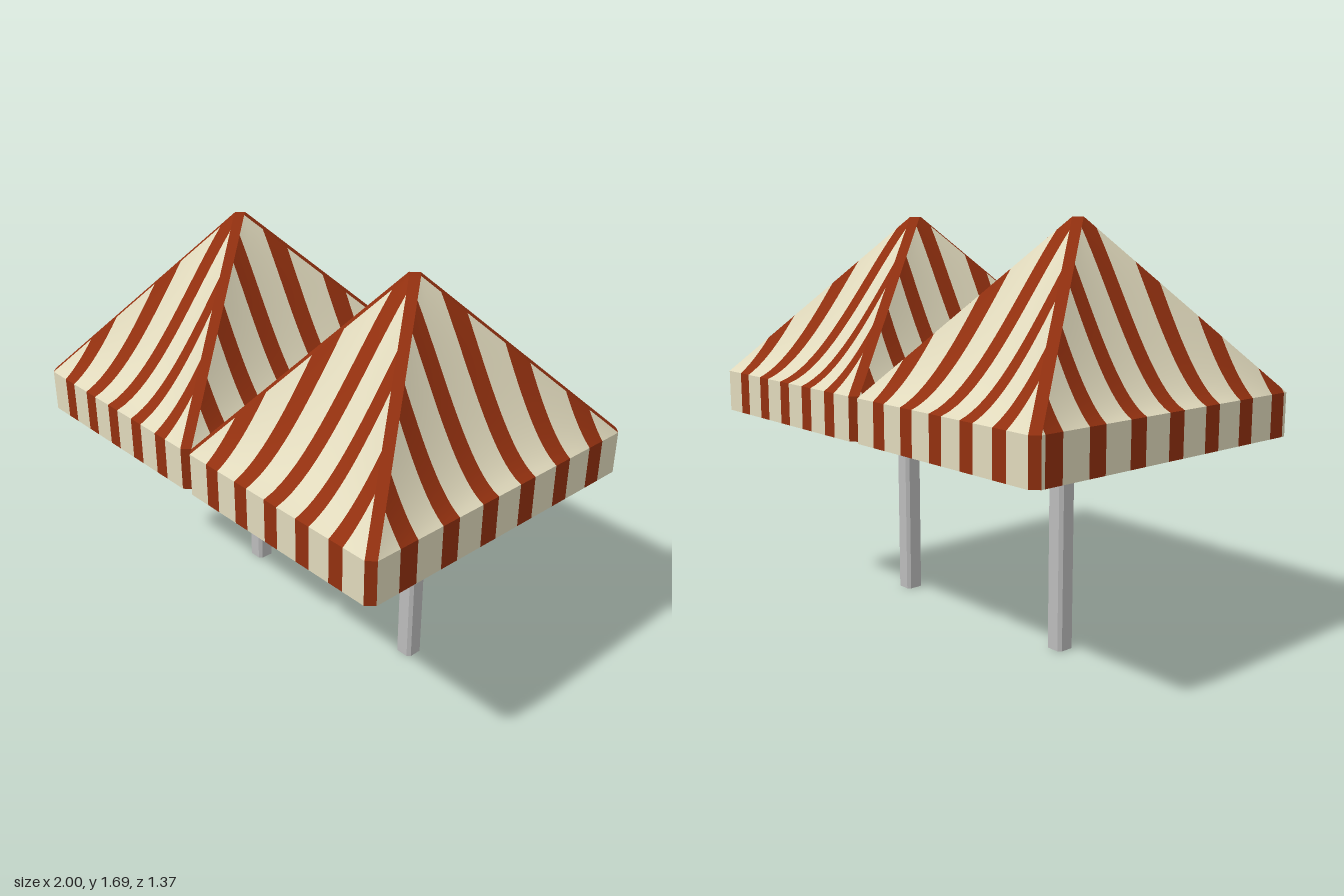
import * as THREE from 'three';

const HX = 0.5, HZ = 0.685, CUT = 0.03;          // half sizes of one canopy, corner cut
const HEM = 0.845, EAVE = 1.02, PEAK = 1.69, SAG = 0.075;

const mat = (name, color) => {
  const m = new THREE.MeshStandardMaterial({ color, side: THREE.DoubleSide });
  m.name = name;
  return m;
};

// Surface from a grid of points: rows of equal length, material index per column
function gridSurface(columns, materialOf) {
  const rows = columns[0].length, pos = [], idx = [];
  const g = new THREE.BufferGeometry();
  columns.forEach(col => col.forEach(p => pos.push(...p)));
  for (let i = 0; i < columns.length - 1; i++) {
    const start = idx.length;
    for (let j = 0; j < rows - 1; j++) {
      const a = i * rows + j, b = a + rows;
      idx.push(a, b, b + 1, a, b + 1, a + 1);
    }
    g.addGroup(start, idx.length - start, materialOf(i));
  }
  g.setAttribute('position', new THREE.Float32BufferAttribute(pos, 3));
  g.setIndex(idx);
  g.computeVertexNormals();
  return g;
}

// Stripe borders across a panel of half width w, each with its colour (1 = red)
function stripeColumns(w, centres, half) {
  const edges = [[-w, 0]];
  centres.forEach(c => edges.push([c - half, 1], [c + half, 0]));
  edges.push([w, 0]);
  const xs = [], colours = [];
  for (let i = 0; i < edges.length - 1; i++) {
    for (let k = 0; k < 4; k++) {
      xs.push(THREE.MathUtils.lerp(edges[i][0], edges[i + 1][0], k / 4));
      colours.push(edges[i][1]);
    }
  }
  xs.push(w);
  return { xs, colours };
}

// Sagging triangular cloth facing +z
function clothGeometry(w, depth, centres, half) {
  const { xs, colours } = stripeColumns(w, centres, half);
  const rows = 16;
  const columns = xs.map(x => {
    const top = 1 - Math.abs(x) / w;
    return Array.from({ length: rows + 1 }, (_, j) => {
      const c = top * j / rows;
      const a = (1 - c + x / w) / 2, b = (1 - c - x / w) / 2;
      return [x, EAVE + (PEAK - EAVE) * c - SAG * 27 * a * b * c, THREE.MathUtils.lerp(depth, CUT, c)];
    });
  });
  return gridSurface(columns, i => colours[i]);
}

// Flat hanging valance facing +z
function valanceGeometry(w, depth, centres, half) {
  const { xs, colours } = stripeColumns(w, centres, half);
  return gridSurface(xs.map(x => [[x, HEM, depth], [x, EAVE, depth]]), i => colours[i]);
}

export function createModel() {
  const cream = mat('creamCloth', 0xe0d9bc);
  const red = mat('redCloth', 0x92300f);
  const grey = mat('greyMetal', 0xbcbcbc);
  const cloth = [cream, red];
  const model = new THREE.Group();
  model.name = 'stripedDoubleCanopy';

  const add = (parent, name, geometry, material) => {
    const m = new THREE.Mesh(geometry, material);
    m.name = name;
    parent.add(m);
    return m;
  };

  // Stripe centres on each kind of side
  const long = [-2, -1, 0, 1, 2].map(k => k * 0.167);
  const plusX = [-5, -3, -1, 1, 3, 5].map(k => k * 0.102);
  const minusX = [-3, -2, -1, 0, 1, 2, 3].map(k => k * 0.2);
  const sides = [
    { name: 'front', w: HX - CUT, depth: HZ, centres: long, half: 0.034 },
    { name: 'left', w: HZ - CUT, depth: HX, centres: plusX, half: 0.041 },
    { name: 'back', w: HX - CUT, depth: HZ, centres: long, half: 0.034 },
    { name: 'right', w: HZ - CUT, depth: HX, centres: minusX, half: 0.039 },
  ];

  for (const side of [-1, 1]) {
    const canopy = new THREE.Group();
    canopy.name = side > 0 ? 'leftCanopy' : 'rightCanopy';
    canopy.position.x = side * HX;
    model.add(canopy);

    // Four sagging cloths, with a valance on the outer sides only
    sides.forEach((s, k) => {
      const turn = k * Math.PI / 2;
      add(canopy, s.name + 'Cloth', clothGeometry(s.w, s.depth, s.centres, s.half), cloth).rotation.y = turn;
      const inner = (k === 1 && side < 0) || (k === 3 && side > 0);
      if (!inner) {
        add(canopy, s.name + 'Valance', valanceGeometry(s.w, s.depth, s.centres, s.half), cloth).rotation.y = turn;
      }
    });

    // Red hip bands running down to the cut corners
    for (const sx of [-1, 1]) for (const sz of [-1, 1]) {
      const a = [sx * (HX - CUT), sz * HZ], b = [sx * HX, sz * (HZ - CUT)];
      const lines = [
        [[a[0], EAVE, a[1]], [0, PEAK, sz * CUT]],
        [[b[0], EAVE, b[1]], [sx * CUT, PEAK, 0]],
      ];
      const drop = [a, b].map(p => [[p[0], HEM, p[1]], [p[0], EAVE, p[1]]]);
      if (sx * sz < 0) { lines.reverse(); drop.reverse(); }
      add(canopy, 'hipBand', gridSurface(lines, () => 0), [red]);
      add(canopy, 'cornerBand', gridSurface(drop, () => 0), [red]);
    }

    // Small diamond cap at the peak
    const cap = add(canopy, 'peakCap', new THREE.CircleGeometry(CUT, 4), red);
    cap.rotation.x = -Math.PI / 2;
    cap.position.y = PEAK;
  }

  // Hollow poles: squares with cut corners
  const r = 0.04, c = 0.027, height = 1.17;
  const ring = [[c, r], [r, c], [r, -c], [c, -r], [-c, -r], [-r, -c], [-r, c], [-c, r], [c, r]];
  const walls = ring.map(([x, z]) => [[x, 0, z], [x, height, z]]);
  const poleGeometry = gridSurface(walls, () => 0).toNonIndexed();
  poleGeometry.computeVertexNormals();
  poleGeometry.clearGroups();
  for (const [name, x] of [['rightPole', -0.475], ['leftPole', 0.515]]) {
    add(model, name, poleGeometry, grey).position.set(x, 0, -0.043);
  }
  return model;
}
